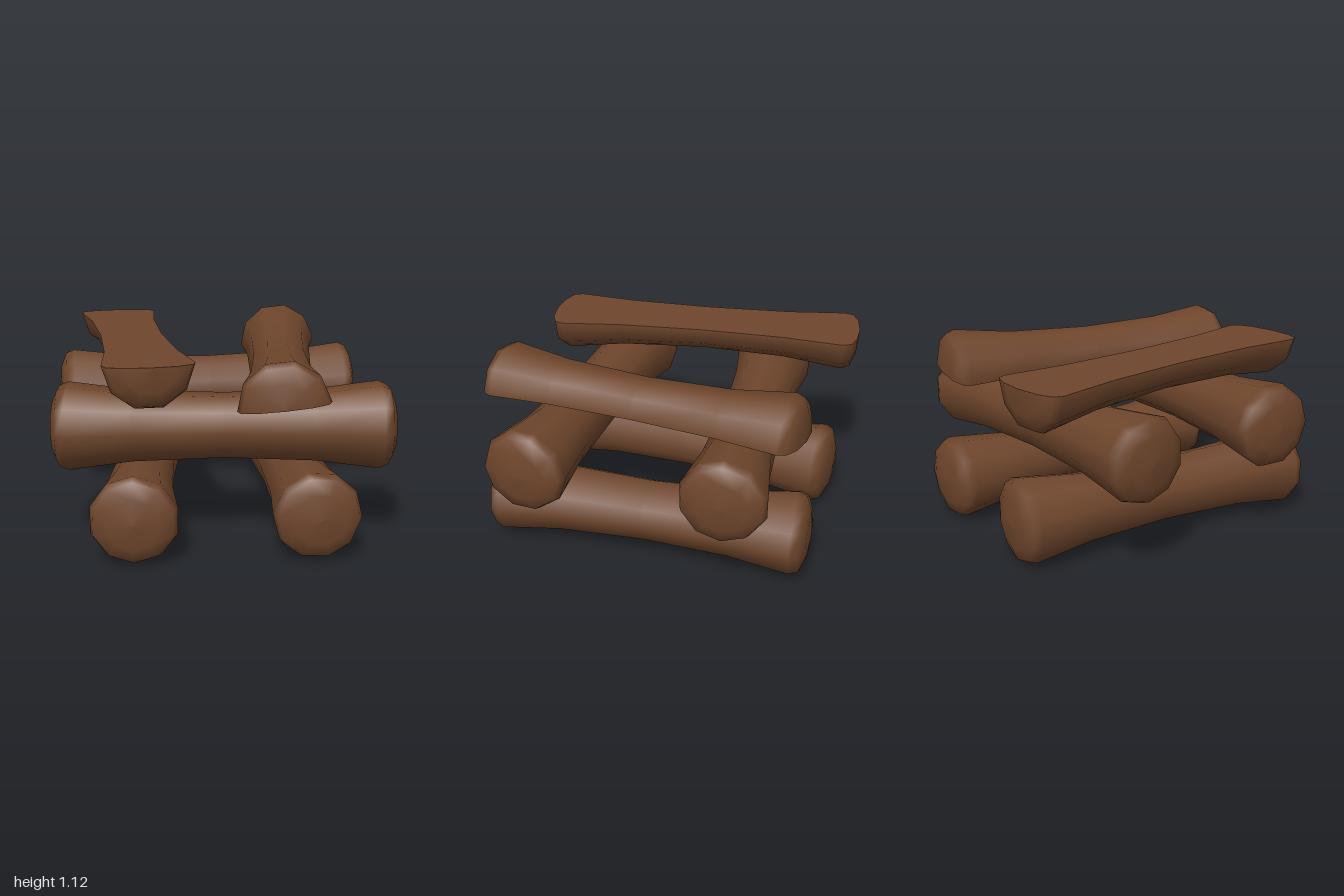
import * as THREE from 'three';

// Waisted log profile: [radius, distance along the axis], middle to tip
const HALF_PROFILE = [[0.18, 0], [0.198, 0.5], [0.243, 0.85], [0.222, 0.9], [0.14, 0.932], [0, 0.945]];
const SIDES = 10;

function profilePoints() {
  const lower = HALF_PROFILE.slice(1).reverse().map(([r, y]) => new THREE.Vector2(r, -y));
  const upper = HALF_PROFILE.map(([r, y]) => new THREE.Vector2(r, y));
  return [...lower, ...upper];
}

export function createModel() {
  const model = new THREE.Group();
  const wood = new THREE.MeshStandardMaterial({ color: 0x6f462c });
  wood.name = 'brown wood';

  const points = profilePoints();
  const wholeLog = new THREE.LatheGeometry(points, SIDES, Math.PI / 2);
  const splitBark = new THREE.LatheGeometry(points, SIDES / 2, 0, Math.PI);

  // Flat sawn face closing the split log, facing local -x
  const outline = [...points, ...points.slice(1, -1).reverse().map((p) => new THREE.Vector2(-p.x, p.y))];
  const splitFace = new THREE.ShapeGeometry(new THREE.Shape(outline)).rotateY(-Math.PI / 2);

  // Lays a log between two tips; roll turns its local x away from straight up
  function addLog(name, from, to, geometries, roll = 0) {
    const a = new THREE.Vector3(...from);
    const b = new THREE.Vector3(...to);
    const along = b.clone().sub(a).normalize();
    const spoke = new THREE.Vector3(0, 1, 0);
    spoke.addScaledVector(along, -spoke.dot(along)).normalize();
    spoke.applyAxisAngle(along, roll);
    const side = new THREE.Vector3().crossVectors(spoke, along);

    const log = new THREE.Group();
    log.name = name;
    log.quaternion.setFromRotationMatrix(new THREE.Matrix4().makeBasis(spoke, along, side));
    log.position.copy(a).add(b).multiplyScalar(0.5);
    for (const [part, geometry] of Object.entries(geometries)) {
      const mesh = new THREE.Mesh(geometry, wood);
      mesh.name = part;
      log.add(mesh);
    }
    model.add(log);
  }

  const whole = { bark: wholeLog };
  const split = { splitBark, splitFace };

  // Bottom pair, running back to front
  addLog('bottomRightLog', [-0.35, 0.25, -0.94], [-0.5, 0.25, 0.94], whole);
  addLog('bottomLeftLog', [0.42, 0.25, -0.94], [0.485, 0.25, 0.94], whole, 0.24);

  // Middle pair, running side to side
  addLog('middleFrontLog', [-0.905, 0.665, 0.465], [0.92, 0.665, 0.57], whole, Math.PI / SIDES);
  addLog('middleBackLog', [-0.925, 0.665, -0.43], [0.9, 0.67, -0.535], whole);

  // Top pair of split logs: one flat side up, one flat side down and tilted
  addLog('topRightSplitLog', [-0.6, 1.07, -1.0], [-0.39, 1.07, 0.88], split, Math.PI);
  addLog('topLeftSplitLog', [0.487, 0.885, -0.885], [0.275, 0.86, 0.99], split, 0.12);

  return model;
}
